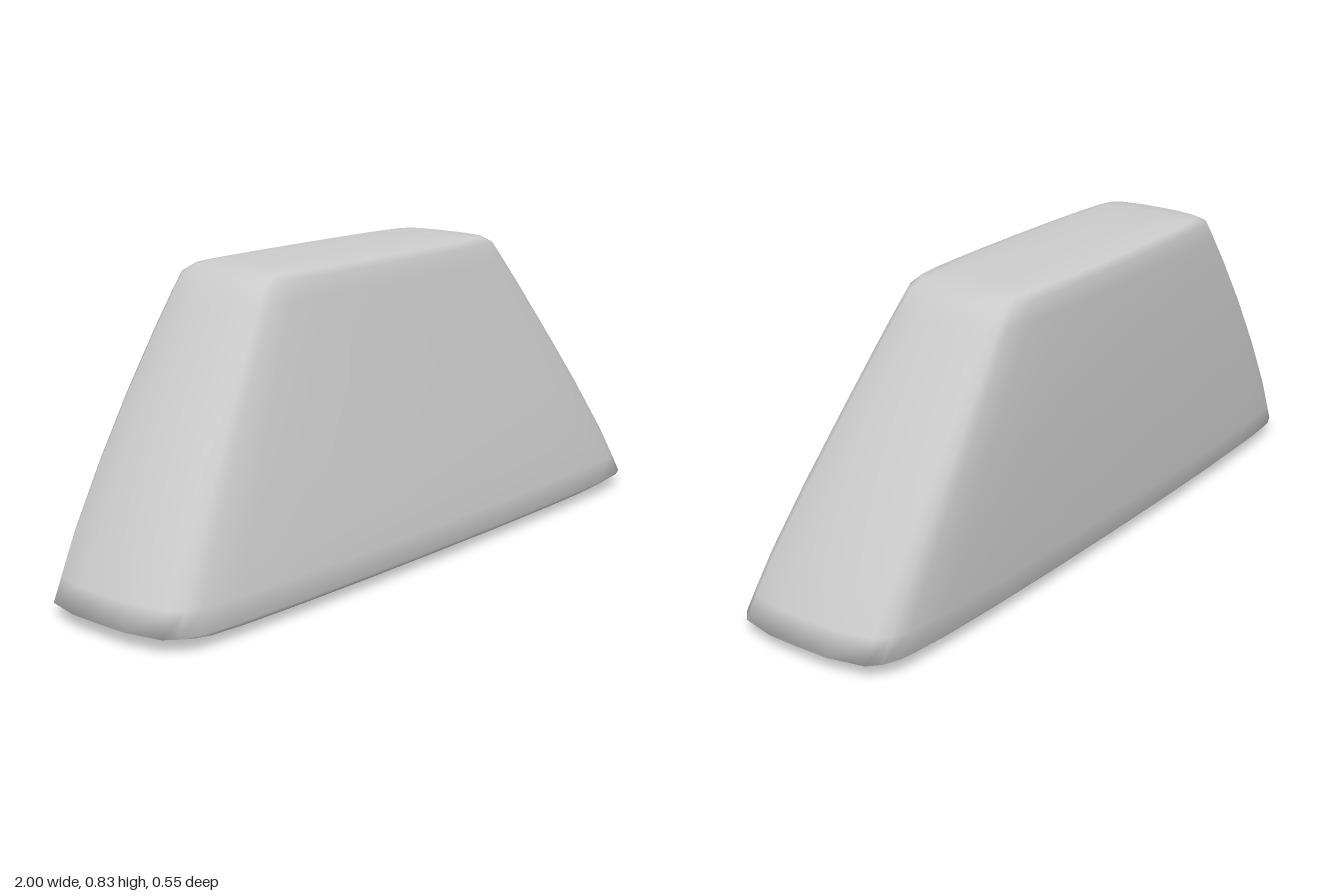
import * as THREE from 'three';

// Quarter of the rounded footprint in unit coordinates, from side to front
const QUARTER = [[1, 0], [0.998, 0.35], [0.975, 0.72], [0.945, 0.83], [0.9, 0.9], [0.78, 0.945], [0.58, 0.975], [0.3, 0.995]];

// Cross-sections from bottom to top: height, half width, front z, back z
const SECTIONS = [
  [0, 0, 0, 0],
  [0.002, 0.45, 0.1, -0.1],
  [0.008, 0.75, 0.2, -0.195],
  [0.018, 0.93, 0.25, -0.24],
  [0.04, 1, 0.275, -0.262],
  [0.1, 0.968, 0.265, -0.265],
  [0.19, 0.918, 0.248, -0.27],
  [0.35, 0.818, 0.211, -0.274],
  [0.51, 0.71, 0.172, -0.275],
  [0.66, 0.604, 0.136, -0.271],
  [0.75, 0.538, 0.114, -0.266],
  [0.8, 0.5, 0.101, -0.263],
  [0.818, 0.465, 0.086, -0.246],
  [0.827, 0.38, 0.055, -0.205],
  [0.83, 0.22, 0, -0.15],
  [0.831, 0, -0.08, -0.08],
];

// Mirror the quarter into a full closed loop
function footprint() {
  const front = [[0, 1]];
  const back = QUARTER.slice(1).reverse();
  const half = [
    ...QUARTER,
    ...front,
    ...back.map(([x, z]) => [-x, z]),
  ];
  return [...half, ...half.map(([x, z]) => [-x, -z])];
}

function loft(sections, loop) {
  const n = loop.length;
  const positions = [];
  const index = [];
  for (const [y, halfWidth, front, back] of sections) {
    const mid = (front + back) / 2;
    const depth = (front - back) / 2;
    // A section of no width is a single pole
    if (halfWidth === 0) positions.push(0, y, mid);
    else for (const [x, z] of loop) positions.push(x * halfWidth, y, mid + z * depth);
  }
  const rings = sections.length - 2;
  const top = 1 + rings * n;
  for (let j = 0; j < n; j++) {
    const k = (j + 1) % n;
    index.push(0, 1 + j, 1 + k);
    for (let i = 0; i < rings - 1; i++) {
      const a = 1 + i * n;
      const b = a + n;
      index.push(a + j, b + j, a + k, a + k, b + j, b + k);
    }
    index.push(top, top - n + k, top - n + j);
  }
  const geometry = new THREE.BufferGeometry();
  geometry.setAttribute('position', new THREE.Float32BufferAttribute(positions, 3));
  geometry.setIndex(index);
  geometry.computeVertexNormals();
  return geometry;
}

export function createModel() {
  const group = new THREE.Group();
  group.name = 'roundedWedge';
  const body = new THREE.Mesh(
    loft(SECTIONS, footprint()),
    new THREE.MeshStandardMaterial({ color: 0xcccccc })
  );
  body.name = 'taperedBody';
  group.add(body);
  return group;
}
